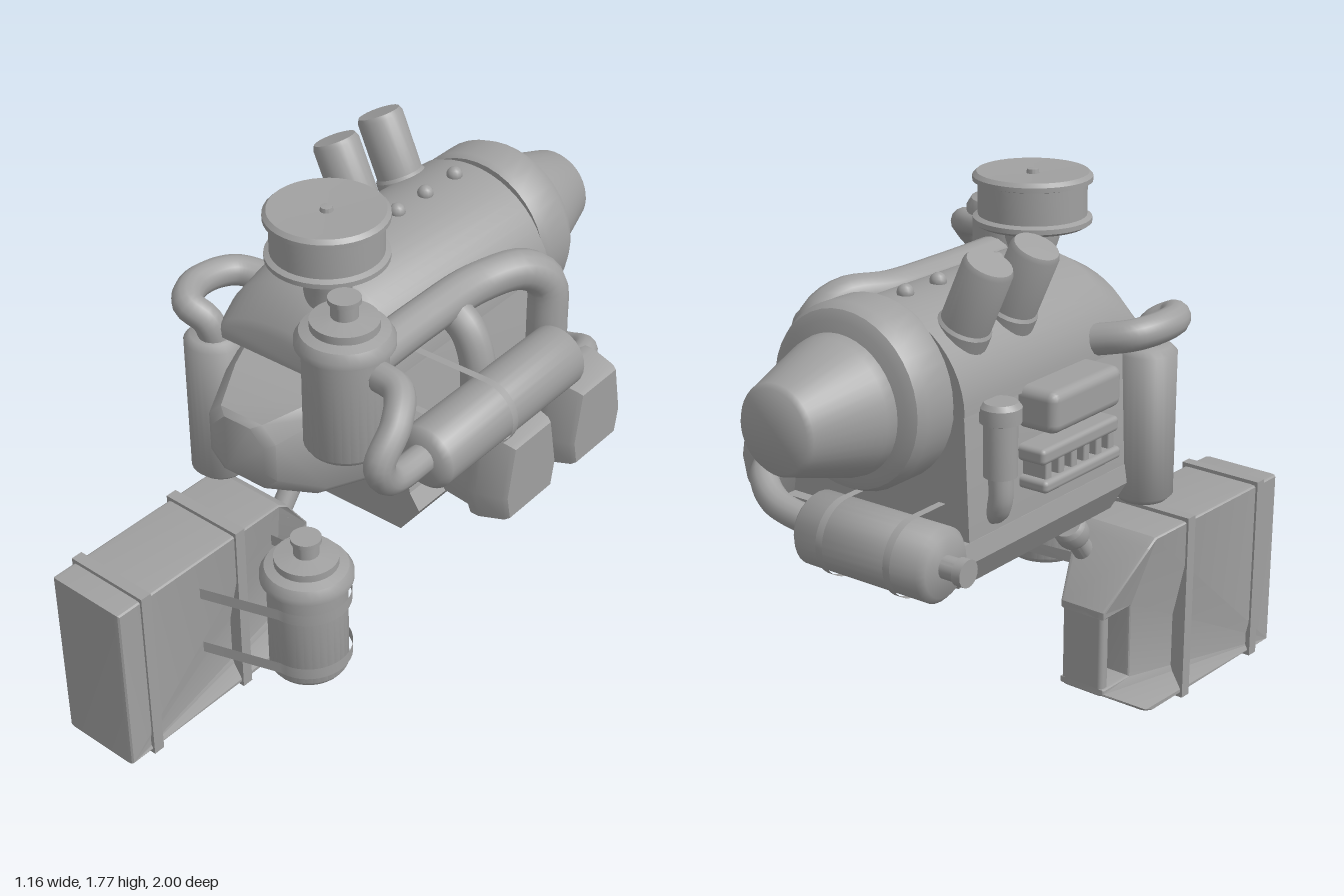
import * as THREE from 'three';
import { toCreasedNormals } from 'three/addons/utils/BufferGeometryUtils.js';
import { RoundedBoxGeometry } from 'three/addons/geometries/RoundedBoxGeometry.js';

export function createModel() {
  const root = new THREE.Group();
  root.name = 'engine';
  const grey = new THREE.MeshStandardMaterial({ color: 0xa0a0a0, side: THREE.DoubleSide });
  grey.name = 'grey metal';

  const add = (name, geo, x = 0, y = 0, z = 0, parent = root) => {
    const m = new THREE.Mesh(geo, grey);
    m.name = name;
    m.position.set(x, y, z);
    parent.add(m);
    return m;
  };
  const lathe = (pts, seg = 32, crease = 0.6) =>
    toCreasedNormals(new THREE.LatheGeometry(pts.map(p => new THREE.Vector2(...p)), seg), crease);
  const tube = (name, pts, r) => {
    const curve = new THREE.CatmullRomCurve3(pts.map(p => new THREE.Vector3(...p)));
    return add(name, new THREE.TubeGeometry(curve, 40, r, 14));
  };
  const box = (name, w, h, d, x, y, z, r = 0.015, parent = root) =>
    add(name, new RoundedBoxGeometry(w, h, d, 2, r), x, y, z, parent);

  // Skin cross-sections [z, loop of x,y] from back to front, with end caps
  const loft = (sections, crease = 0.5) => {
    const pos = [], idx = [], n = sections[0][1].length;
    for (const [z, loop] of sections) for (const [x, y] of loop) pos.push(x, y, z);
    for (let s = 0; s < sections.length - 1; s++) for (let i = 0; i < n; i++) {
      const a = s * n + i, b = s * n + (i + 1) % n;
      idx.push(a, b, b + n, a, b + n, a + n);
    }
    const e = (sections.length - 1) * n;
    for (let i = 1; i < n - 1; i++) idx.push(0, i + 1, i, e, e + i, e + i + 1);
    const g = new THREE.BufferGeometry();
    g.setAttribute('position', new THREE.Float32BufferAttribute(pos, 3));
    g.setIndex(idx);
    return toCreasedNormals(g, crease);
  };

  // Open U-shaped band: arc plus two straight tails, width along z
  const strap = (r, dir, tailX, t0, t1, width) => {
    const pts = [[-dir * tailX, t0]];
    for (let i = 0; i <= 20; i++) {
      const a = Math.PI / 2 - Math.PI * i / 20;
      pts.push([dir * r * Math.cos(a), r * Math.sin(a)]);
    }
    pts.push([-dir * tailX, t1]);
    const pos = [], idx = [];
    pts.forEach(([x, y], i) => {
      pos.push(x, y, -width / 2, x, y, width / 2);
      if (i) { const k = i * 2; idx.push(k - 2, k - 1, k + 1, k - 2, k + 1, k); }
    });
    const g = new THREE.BufferGeometry();
    g.setAttribute('position', new THREE.Float32BufferAttribute(pos, 3));
    g.setIndex(idx);
    g.computeVertexNormals();
    return g;
  };

  // Crankcase above a flared oil pan
  const crank = [[-0.42, 0.84], [0.26, 0.84], [0.19, 1.25], [0.17, 1.35], [-0.37, 1.35], [-0.4, 1.25]];
  add('crankcase', loft([[-0.56, crank], [0.23, crank]], 0.3));
  const pan = y0 => [[-0.37, y0], [0.22, y0], [0.29, 0.82], [0.25, 0.88], [-0.42, 0.88], [-0.43, 0.82]];
  add('oilPan', loft([[-0.6, pan(0.79)], [-0.55, pan(0.72)], [0.23, pan(0.72)]], 0.3));

  // Front cover tapering forward, rounded at the corners
  const cover = (w, y0, y1, c) => [[-w + c, y0], [w - c, y0], [w, y0 + c], [w, y1 - c],
    [w - c, y1], [-w + c, y1], [-w, y1 - c], [-w, y0 + c]].map(([x, y]) => [x - 0.09, y]);
  add('frontCover', loft([[0.18, cover(0.285, 0.9, 1.26, 0.02)], [0.24, cover(0.27, 0.9, 1.26, 0.03)],
    [0.44, cover(0.195, 0.91, 1.25, 0.04)], [0.59, cover(0.13, 0.985, 1.215, 0.05)],
    [0.61, cover(0.1, 1.01, 1.2, 0.05)]], 0.75));

  // Rounded top cover with a sloping front
  const arch = (w, h) => Array.from({ length: 25 }, (_, i) => {
    const a = Math.PI * i / 24;
    return [-0.11 + w * Math.cos(a), 1.26 + h * Math.sin(a)];
  });
  add('topCover', loft([[-0.57, arch(0.3, 0.28)], [0.19, arch(0.3, 0.28)], [0.29, arch(0.295, 0.23)],
    [0.36, arch(0.28, 0.12)], [0.37, arch(0.27, 0.09)]], 0.6));
  for (const z of [-0.46, -0.31, -0.17, -0.03])
    add('coverBolt', new THREE.SphereGeometry(0.026, 12, 8), -0.11, 1.545, z);

  // Bell housing and tail cone
  add('bellHousing', lathe([[0, 0.55], [0.27, 0.55], [0.28, 0.57], [0.28, 0.68], [0.265, 0.71], [0.235, 0.725], [0, 0.725]], 40)
    .rotateX(-Math.PI / 2), -0.09, 1.285, 0);
  add('tailCone', lathe([[0, 0.7], [0.215, 0.7], [0.205, 0.76], [0.135, 0.985], [0.122, 1], [0, 1]], 40, 2)
    .rotateX(-Math.PI / 2), -0.085, 1.272, 0);

  // Tilted filler caps
  for (const z of [-0.22, -0.44]) {
    const cap = add('fillerCap', lathe([[0, -0.05], [0.082, -0.05], [0.082, 0.0], [0.075, 0.01],
      [0.075, 0.2], [0.068, 0.215], [0, 0.215]], 24), -0.31, 1.48, z);
    cap.rotation.z = 0.42;
  }

  // Air cleaner
  add('airCleaner', lathe([[0.07, 1.42], [0.075, 1.52], [0.085, 1.55], [0.085, 1.595], [0.17, 1.595], [0.186, 1.605],
    [0.186, 1.62], [0.17, 1.628], [0.17, 1.73], [0.187, 1.735], [0.187, 1.75], [0.175, 1.762], [0.02, 1.755],
    [0.018, 1.768], [0, 1.77]], 40), -0.05, 0, 0.235);

  // Two matching fuel filters
  const filter = () => lathe([[0, 0], [0.115, 0], [0.125, 0.015], [0.125, 0.34], [0.145, 0.345], [0.145, 0.365],
    [0.13, 0.39], [0.1, 0.4], [0.1, 0.425], [0.04, 0.435], [0.04, 0.475], [0.048, 0.48], [0.048, 0.495], [0, 0.495]]);
  add('upperFilter', filter(), 0.22, 1.2, 0.485);
  add('lowerFilter', filter(), 0.11, 0.34, 0.55);
  add('filterVent', new THREE.SphereGeometry(0.025, 12, 8), 0.37, 1.49, 0.48);
  for (const y of [0.405, 0.62])
    add('filterStrap', strap(0.137, 1, 0.25, 0.21, -0.12, 0.04).rotateX(Math.PI / 2), 0.11, y, 0.55);

  // Side silencer, its band and inlet pipe
  const canProfile = (r, l) => lathe([[0, -l / 2], [r - 0.02, -l / 2], [r, -l / 2 + 0.02],
    [r, l / 2 - 0.02], [r - 0.02, l / 2], [0, l / 2]], 28, 0.9);
  add('sideSilencer', canProfile(0.1, 0.69).rotateX(Math.PI / 2), 0.47, 1.235, 0.115);
  add('silencerBand', strap(0.106, 1, 0.27, 0.106, -0.106, 0.025), 0.47, 1.235, 0.15);
  tube('inletPipe', [[0.32, 1.48, 0.48], [0.42, 1.475, 0.5], [0.475, 1.43, 0.58], [0.48, 1.34, 0.66],
    [0.475, 1.26, 0.61], [0.47, 1.24, 0.44]], 0.045);

  // Intake pipe with two down branches
  tube('intakePipe', [[0.21, 1.42, 0.45], [0.2, 1.42, 0.1], [0.21, 1.42, -0.15], [0.27, 1.42, -0.3],
    [0.31, 1.36, -0.37], [0.32, 1.22, -0.375], [0.32, 1.04, -0.37]], 0.064);
  tube('intakeBranch', [[0.2, 1.4, -0.02], [0.27, 1.35, -0.02], [0.31, 1.26, -0.02], [0.32, 1.04, -0.02]], 0.055);

  // Side pods
  const pod = s => [[-0.13, 0.8], [0.13, 0.8], [0.15, 0.9], [0.11, 1.1], [-0.11, 1.1], [-0.15, 0.9]]
    .map(([z, y]) => [z * s, 0.95 + (y - 0.95) * s]);
  for (const z of [-0.015, -0.37])
    add('sidePod', loft([[0.2, pod(0.82)], [0.38, pod(0.9)], [0.4, pod(1)], [0.43, pod(1)], [0.515, pod(0.88)],
      [0.53, pod(0.82)]], 0.9).rotateY(Math.PI / 2), 0, 0, z);

  // Rear exhaust silencer and pipe
  tube('exhaustPipe', [[0.33, 0.97, -0.42], [0.325, 0.97, -0.55], [0.29, 0.95, -0.65], [0.2, 0.9, -0.7],
    [0.02, 0.86, -0.695]], 0.045);
  add('rearSilencer', canProfile(0.113, 0.49).rotateZ(Math.PI / 2), -0.195, 0.86, -0.695);
  add('tailNozzle', lathe([[0, 0], [0.035, 0], [0.035, 0.06], [0.042, 0.06], [0.042, 0.09], [0, 0.09]], 20)
    .rotateZ(Math.PI / 2), -0.43, 0.86, -0.695);
  for (const x of [-0.32, -0.07])
    add('rearBand', strap(0.12, -1, 0.15, 0.12, -0.12, 0.025).rotateY(-Math.PI / 2), x, 0.86, -0.695);

  // Oil canister and looped pipe
  add('oilCanister', canProfile(0.097, 0.51), -0.415, 0.99, 0.345);
  tube('oilPipe', [[-0.4, 1.2, 0.345], [-0.42, 1.3, 0.37], [-0.48, 1.34, 0.385], [-0.53, 1.35, 0.3],
    [-0.5, 1.34, 0.15], [-0.35, 1.31, 0.08]], 0.049);

  // Side box and ribbed rail
  box('sideBox', 0.2, 0.13, 0.35, -0.43, 1.215, -0.13, 0.03);
  box('ribbedRail', 0.14, 0.05, 0.39, -0.43, 1.08, -0.12);
  box('lowerRail', 0.16, 0.04, 0.39, -0.43, 0.99, -0.12);
  for (let i = 0; i < 6; i++) box('rib', 0.13, 0.08, 0.03, -0.43, 1.03, -0.28 + i * 0.064, 0.006);

  // Small pump with bent hose
  add('pump', lathe([[0, 0], [0.05, 0], [0.05, 0.16], [0.062, 0.165], [0.062, 0.21], [0.05, 0.225], [0, 0.225]], 20),
    -0.445, 1.06, -0.45);
  tube('pumpHose', [[-0.445, 1.08, -0.45], [-0.445, 0.98, -0.45], [-0.42, 0.94, -0.44], [-0.32, 0.93, -0.42]], 0.036);

  // Fuel can, notched and thinned toward its handle
  const can = new THREE.Group();
  can.name = 'fuelCan';
  can.position.set(-0.375, 0, 0.55);
  can.rotation.y = -0.035;
  root.add(can);
  const outline = new THREE.Shape([[1, 0.015], [1, 0.635], [0.29, 0.635], [0.25, 0.61],
    [0.1, 0.42], [0.1, 0.395], [0.24, 0.395], [0.24, 0.15], [0.1, 0.15], [0.1, 0.13], [0.26, 0.03], [0.3, 0.015]]
    .map(([z, y]) => new THREE.Vector2(z - 0.55, y)));
  const body = new THREE.ExtrudeGeometry(outline, {
    depth: 0.25, bevelEnabled: true, bevelSize: 0.006, bevelThickness: 0.02, bevelOffset: -0.006, bevelSegments: 2,
  });
  body.translate(0, 0, -0.125).rotateY(-Math.PI / 2);
  const p = body.attributes.position;
  for (let i = 0; i < p.count; i++)
    if (p.getZ(i) < -0.285 && p.getY(i) > 0.1 && p.getY(i) < 0.5) p.setX(i, p.getX(i) * 0.6);
  add('canBody', toCreasedNormals(body, 0.5), 0, 0, 0, can);
  box('canHandle', 0.16, 0.31, 0.042, 0, 0.275, -0.429, 0.015, can);
  for (const z of [0.89, 0.48])
    add('canBand', new THREE.BoxGeometry(0.305, 0.645, 0.04), 0, 0.325, z - 0.55, can);
  const spout = add('canSpout', lathe([[0, 0], [0.035, 0], [0.035, 0.1], [0.05, 0.1], [0.055, 0.115],
    [0.055, 0.155], [0.045, 0.17], [0, 0.17]], 20), 0.085, 0.535, -0.32, can);
  spout.rotation.x = -0.65;
  return root;
}
